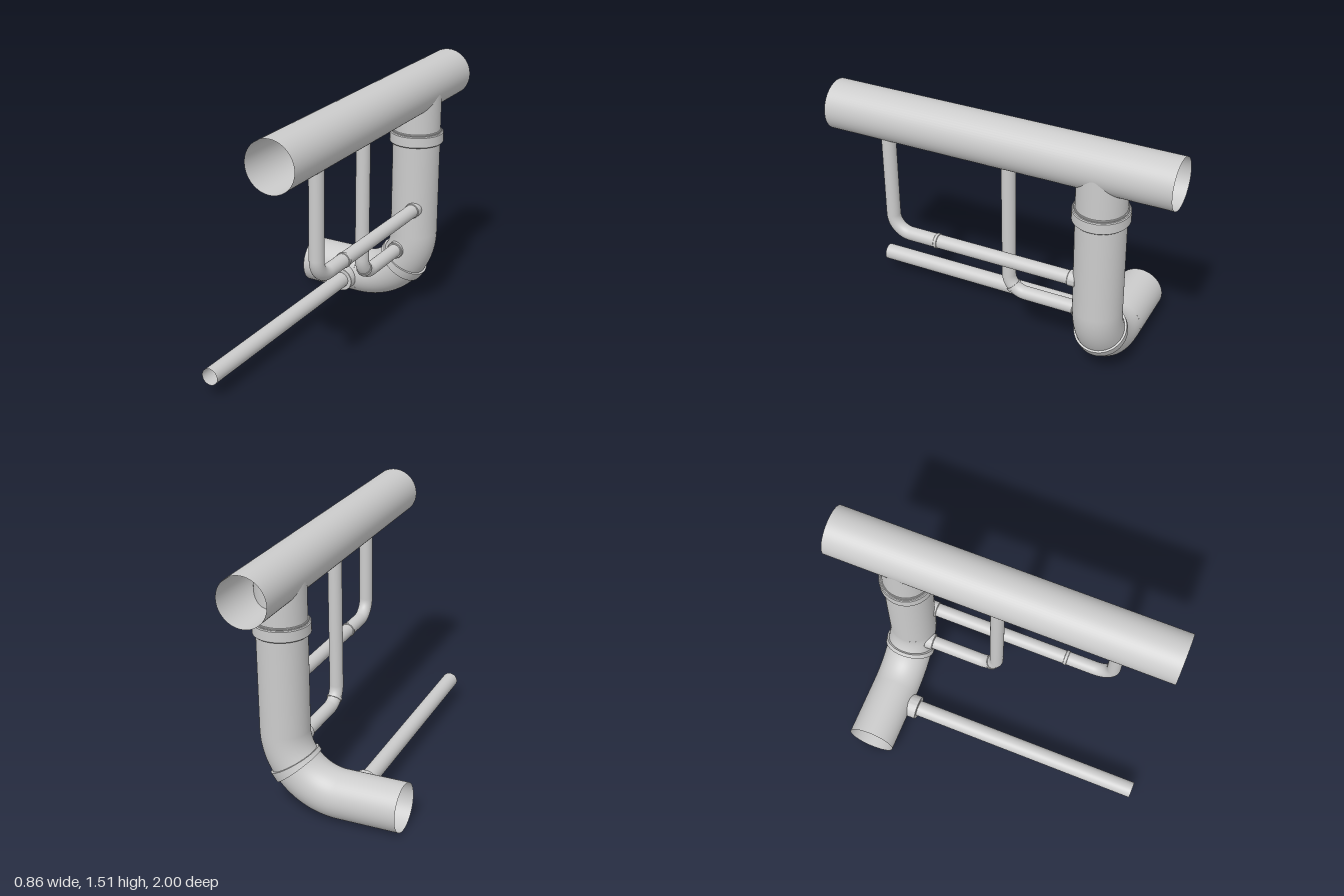
import * as THREE from 'three';
import { toCreasedNormals } from 'three/addons/utils/BufferGeometryUtils.js';

const material = new THREE.MeshStandardMaterial({ color: 0xcccccc, side: THREE.DoubleSide });

function add(parent, name, geometry) {
  const mesh = new THREE.Mesh(geometry, material);
  mesh.name = name;
  parent.add(mesh);
  return mesh;
}

// Open straight pipe between two points
function pipe(parent, name, from, to, radius) {
  const a = new THREE.Vector3(...from), b = new THREE.Vector3(...to);
  const dir = b.clone().sub(a);
  const mesh = add(parent, name, new THREE.CylinderGeometry(radius, radius, dir.length(), 64, 1, true));
  mesh.position.copy(a).add(b).multiplyScalar(0.5);
  mesh.quaternion.setFromUnitVectors(new THREE.Vector3(0, 1, 0), dir.normalize());
  return mesh;
}

// Ring-shaped sleeve along +y: closed profile with softened edges
function sleeve(parent, name, inner, outer, length, bevel = 0.004) {
  const h = length / 2;
  const profile = [
    [inner, -h], [outer - bevel, -h], [outer, bevel - h],
    [outer, h - bevel], [outer - bevel, h], [inner, h],
  ].map(([x, y]) => new THREE.Vector2(x, y));
  return add(parent, name, toCreasedNormals(new THREE.LatheGeometry(profile, 64), 0.5));
}

// Part of a bend, from angle a0 to a1 about the bend centre
function bend(parent, name, center, bendRadius, radius, a0, a1) {
  const geometry = new THREE.TorusGeometry(bendRadius, radius, 48, 32, a1 - a0).rotateZ(a0);
  add(parent, name, geometry).position.set(...center);
}

// Curved sleeve around a bend, with ring faces closing its ends
function bendSleeve(parent, name, center, bendRadius, inner, outer, angle, spread) {
  const group = new THREE.Group();
  group.name = name;
  group.position.set(...center);
  parent.add(group);
  bend(group, name + 'Wall', [0, 0, 0], bendRadius, outer, angle - spread, angle + spread);
  for (const a of [angle - spread, angle + spread]) {
    const face = new THREE.RingGeometry(inner, outer, 48);
    add(group, name + 'Face', face.rotateX(Math.PI / 2).translate(bendRadius, 0, 0).rotateZ(a));
  }
}

// Riser on the local y axis, bending into a run along local -x
function elbowPipe(name, { radius, bendRadius, runY, top, runEnd }) {
  const group = new THREE.Group();
  group.name = name;
  const center = [-bendRadius, runY + bendRadius, 0];
  pipe(group, name + 'Riser', [0, center[1], 0], [0, top, 0], radius);
  bend(group, name + 'Bend', center, bendRadius, radius, -Math.PI / 2, 0);
  pipe(group, name + 'Run', [runEnd, runY, 0], [-bendRadius, runY, 0], radius);
  return { group, center };
}

export function createModel() {
  const model = new THREE.Group();
  model.name = 'pipework';
  const stackX = 0.27, stackZ = -0.583;

  // Overhead main pipe
  pipe(model, 'mainPipe', [stackX, 1.37, -1], [stackX, 1.37, 1], 0.141);

  // Large drop pipe with its sweeping bend
  const drop = elbowPipe('dropPipe', { radius: 0.139, bendRadius: 0.341, runY: 0.139, top: 1.37, runEnd: -0.7 });
  drop.group.position.set(stackX, 0, stackZ);
  model.add(drop.group);
  sleeve(drop.group, 'upperCollar', 0.138, 0.157, 0.068, 0.005).position.y = 1.084;
  sleeve(drop.group, 'upperCollarLip', 0.138, 0.146, 0.012, 0.003).position.y = 1.122;
  bendSleeve(drop.group, 'bendCollar', drop.center, 0.341, 0.138, 0.151, -0.63, 0.067);

  // Outer branch: down from the main pipe, back into the drop pipe
  const outer = elbowPipe('outerBranch', { radius: 0.04, bendRadius: 0.11, runY: 0.663, top: 1.28, runEnd: -1.155 });
  outer.group.position.set(0.3225, 0, 0.655);
  const coupling = sleeve(outer.group, 'outerCoupling', 0.039, 0.044, 0.02, 0.002);
  coupling.position.set(-0.28, 0.663, 0);
  const outerSocket = sleeve(outer.group, 'outerSocket', 0.039, 0.045, 0.05, 0.003);
  outerSocket.position.set(-1.114, 0.663, 0);

  // Inner branch: a shorter, lower copy with a sleeve on its bend
  const inner = elbowPipe('innerBranch', { radius: 0.04, bendRadius: 0.105, runY: 0.391, top: 1.27, runEnd: -0.47 });
  inner.group.position.set(0.22, 0, -0.021);
  bendSleeve(inner.group, 'innerCoupling', inner.center, 0.105, 0.039, 0.045, -Math.PI / 4, 0.085);
  const innerSocket = sleeve(inner.group, 'innerSocket', 0.039, 0.05, 0.05, 0.003);
  innerSocket.position.set(-0.43, 0.391, 0);

  for (const socket of [coupling, outerSocket, innerSocket]) socket.rotation.z = Math.PI / 2;
  for (const branch of [outer, inner]) {
    branch.group.rotation.y = -Math.PI / 2;
    model.add(branch.group);
  }

  // Long low outlet pipe with its socket on the horizontal run
  pipe(model, 'outletPipe', [-0.128, 0.13, -0.46], [-0.128, 0.13, 1], 0.048);
  const outletSocket = sleeve(model, 'outletSocket', 0.047, 0.072, 0.085, 0.002);
  outletSocket.position.set(-0.128, 0.13, -0.4375);
  outletSocket.rotation.x = Math.PI / 2;

  return model;
}
